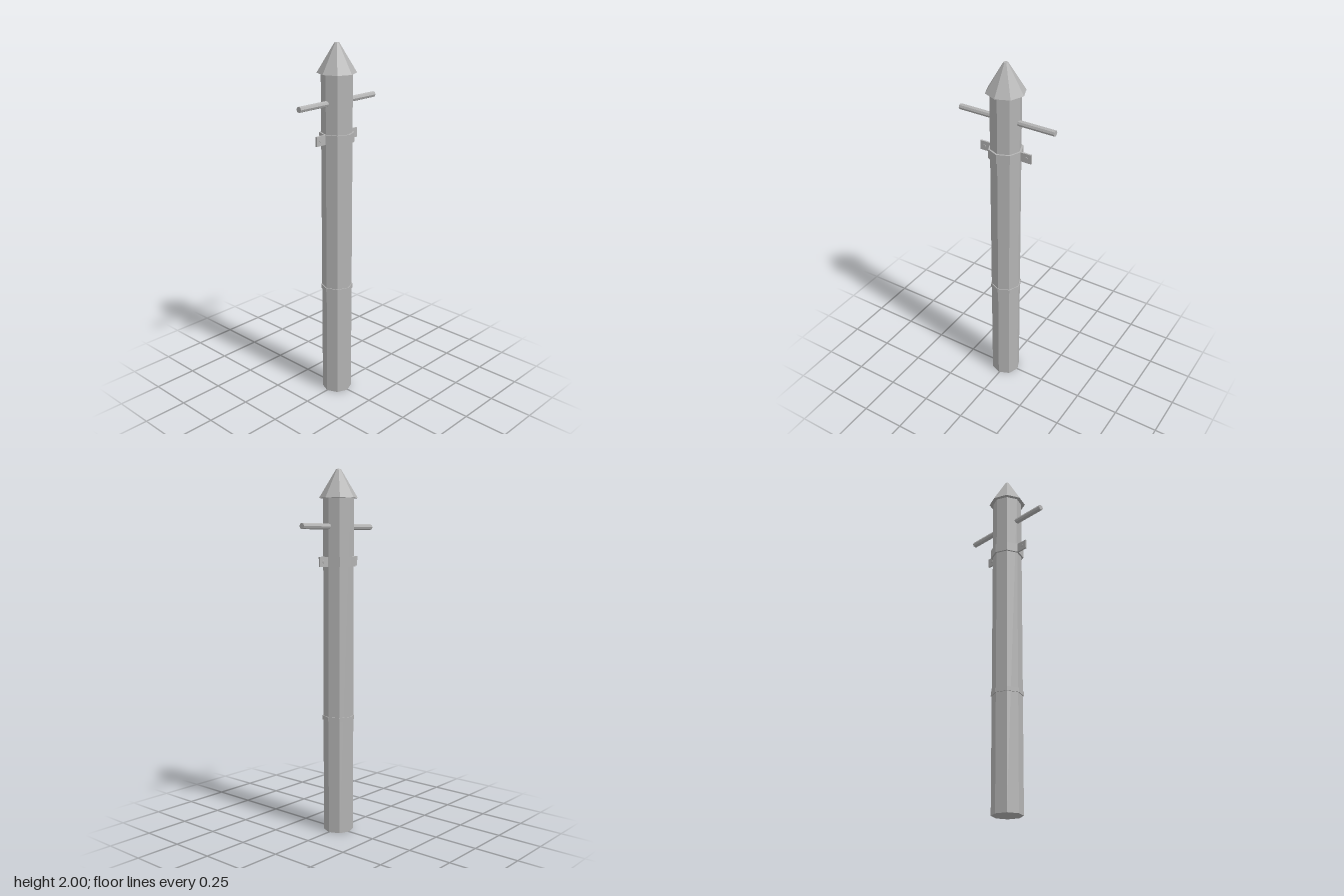
import * as THREE from 'three';

export function createModel() {
  const model = new THREE.Group();
  model.name = 'post';
  const grey = new THREE.MeshStandardMaterial({ color: 0xb4b4b4, flatShading: true });
  grey.name = 'grey metal';
  const axisZ = 0.004; // the post stands slightly forward of the tab ends' midpoint

  const add = (name, geometry, x, y, z) => {
    const mesh = new THREE.Mesh(geometry, grey);
    mesh.name = name;
    mesh.position.set(x, y, z);
    model.add(mesh);
    return mesh;
  };
  // Octagonal prism or cone between two heights
  const octagon = (name, rTop, rBottom, y0, y1) =>
    add(name, new THREE.CylinderGeometry(rTop, rBottom, y1 - y0, 8), 0, (y0 + y1) / 2, axisZ);

  octagon('shaft', 0.083, 0.083, 0, 1.85);
  octagon('cap', 0.0125, 0.105, 1.847, 2);
  octagon('clampCollar', 0.093, 0.093, 1.483, 1.535);
  octagon('lowerRing', 0.088, 0.088, 0.635, 0.659);

  // Crossbar through the shaft
  add('crossbar', new THREE.CylinderGeometry(0.016, 0.016, 0.563, 8).rotateX(Math.PI / 2), 0.001, 1.696, -0.0015);

  // Clamp tabs and their bolts, front and back
  for (const side of [1, -1]) {
    const end = axisZ + side * 0.154;
    const inner = axisZ + side * 0.085;
    add('clampTab', new THREE.BoxGeometry(0.01, 0.052, 0.069), 0, 1.509, (end + inner) / 2);
    add('clampBolt', new THREE.CylinderGeometry(0.008, 0.008, 0.018, 8).rotateZ(Math.PI / 2), 0, 1.509, axisZ + side * 0.127);
  }
  return model;
}
